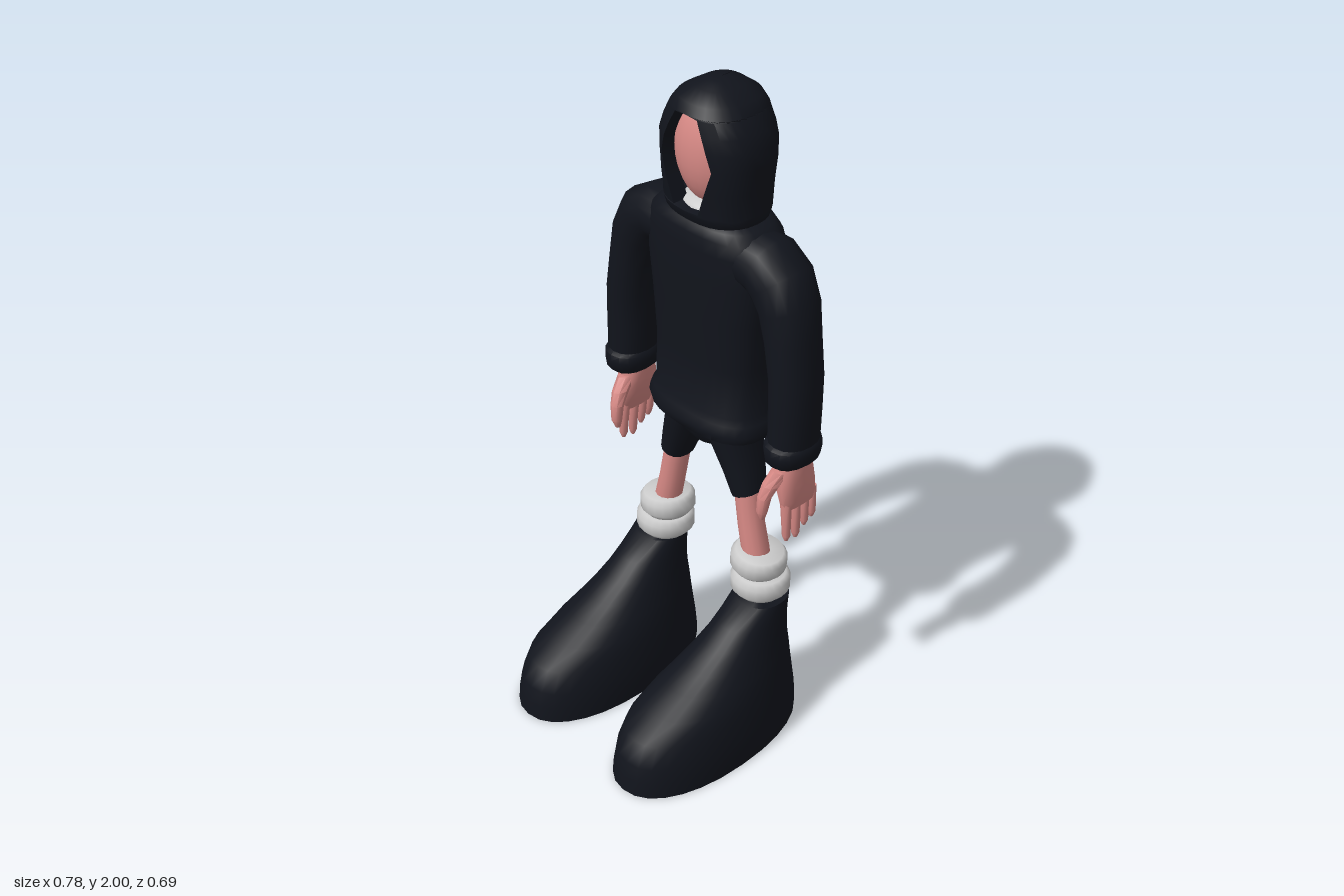
import * as THREE from 'three';
import { toCreasedNormals } from 'three/addons/utils/BufferGeometryUtils.js';

const mat = (color) => new THREE.MeshStandardMaterial({ color, side: THREE.DoubleSide });
const cloth = mat(0x11141c), skin = mat(0xd88a86), grey = mat(0xcccccc);

const spow = (v, e) => Math.sign(v) * Math.abs(v) ** e;

function toGeometry(pos, idx, crease) {
  const g = new THREE.BufferGeometry();
  g.setAttribute('position', new THREE.Float32BufferAttribute(pos, 3));
  g.setIndex(idx);
  return toCreasedNormals(g, crease);
}

// Capped skin over superellipse rings [x, y, z, rx, rzFront, rzBack = rzFront],
// each ring turned square to the path in the xy plane
function loft(rows, n = 16, p = 2, crease = 0.8) {
  const pos = [], idx = [], m = rows.length;
  rows.forEach(([x, y, z, rx, rf, rb = rf], i) => {
    const a = rows[Math.max(i - 1, 0)], b = rows[Math.min(i + 1, m - 1)];
    const t = new THREE.Vector2(b[0] - a[0], b[1] - a[1]).normalize();
    for (let j = 0; j < n; j++) {
      const th = (j / n) * Math.PI * 2;
      const u = rx * spow(Math.cos(th), 2 / p), s = spow(Math.sin(th), 2 / p);
      pos.push(x + t.y * u, y - t.x * u, z + s * (s > 0 ? rf : rb));
    }
  });
  const first = m * n, last = first + 1;
  pos.push(...rows[0].slice(0, 3), ...rows[m - 1].slice(0, 3));
  for (let j = 0; j < n; j++) {
    const k = (j + 1) % n;
    for (let i = 0; i < m - 1; i++) {
      const a = i * n + j, b = i * n + k;
      idx.push(a, a + n, b, b, a + n, b + n);
    }
    idx.push(first, j, k, last, (m - 1) * n + k, (m - 1) * n + j);
  }
  return toGeometry(pos, idx, crease);
}

// Hood shell from rows [y, halfWidth, zFront, zBack, faceGap], with a rim turned inward
function hoodGeometry(rows, n = 28, p = 2.4) {
  const pos = [], idx = [], w = n + 3;
  for (const [y, hw, zf, zb, gap] of rows) {
    const a0 = Math.asin((gap / hw) ** (p / 2)), zc = (zf + zb) / 2, rz = (zf - zb) / 2;
    for (let j = -1; j <= n + 1; j++) {
      const rim = j < 0 || j > n;
      const a = a0 + (THREE.MathUtils.clamp(j, 0, n) / n) * 2 * (Math.PI - a0);
      pos.push(hw * spow(Math.sin(a), 2 / p), y, zc + rz * spow(Math.cos(a), 2 / p) - (rim ? 0.05 : 0));
    }
  }
  for (let i = 0; i < rows.length - 1; i++)
    for (let j = 0; j < w - 1; j++) {
      const a = i * w + j, b = a + w;
      idx.push(a, a + 1, b, a + 1, b + 1, b);
    }
  return toGeometry(pos, idx, 0.8);
}

export function createModel() {
  const model = new THREE.Group();
  const add = (name, geo, material) => {
    const mesh = new THREE.Mesh(geo, material);
    mesh.name = name;
    model.add(mesh);
    return mesh;
  };
  const ellipsoid = (name, x, y, z, rx, ry, rz, material) => {
    const mesh = add(name, new THREE.SphereGeometry(1, 24, 16), material);
    mesh.position.set(x, y, z);
    mesh.scale.set(rx, ry, rz);
  };

  // Sweater body with a rolled hem
  add('sweater', loft([
    [0, 0.965, -0.21, 0.17, 0.11], [0, 0.975, -0.21, 0.2, 0.125], [0, 1.0, -0.212, 0.21, 0.132],
    [0, 1.03, -0.212, 0.2, 0.125], [0, 1.05, -0.21, 0.19, 0.112], [0, 1.2, -0.21, 0.185, 0.113],
    [0, 1.35, -0.208, 0.198, 0.117], [0, 1.47, -0.207, 0.214, 0.12], [0, 1.56, -0.206, 0.215, 0.12],
    [0, 1.6, -0.206, 0.2, 0.117], [0, 1.625, -0.206, 0.17, 0.108], [0, 1.64, -0.206, 0.13, 0.09],
  ], 28, 2.6), cloth);

  // Hood, open around the face
  add('hood', hoodGeometry([
    [1.61, 0.13, -0.11, -0.3, 0], [1.63, 0.148, -0.098, -0.315, 0], [1.65, 0.152, -0.09, -0.325, 0],
    [1.657, 0.152, -0.088, -0.328, 0], [1.66, 0.152, -0.088, -0.328, 0.045], [1.73, 0.152, -0.078, -0.335, 0.07],
    [1.8, 0.158, -0.074, -0.34, 0.092], [1.85, 0.158, -0.074, -0.34, 0.077], [1.89, 0.143, -0.078, -0.338, 0.06],
    [1.93, 0.122, -0.085, -0.33, 0.04], [1.934, 0.12, -0.086, -0.329, 0], [1.96, 0.1, -0.1, -0.315, 0],
    [1.985, 0.06, -0.14, -0.28, 0], [1.998, 0.025, -0.18, -0.235, 0], [2.0, 0.001, -0.207, -0.209, 0],
  ]), cloth);
  ellipsoid('face', 0, 1.81, -0.195, 0.118, 0.165, 0.095, skin);
  ellipsoid('collar', 0, 1.65, -0.185, 0.09, 0.035, 0.075, grey);

  // Hips joining both trouser legs
  add('hips', loft([
    [0, 0.9, -0.21, 0.07, 0.065], [0, 0.93, -0.21, 0.135, 0.085],
    [0, 0.97, -0.21, 0.17, 0.1], [0, 1.0, -0.21, 0.17, 0.1],
  ], 20, 2.3), cloth);

  for (const s of [1, -1]) {
    const side = s > 0 ? 'left' : 'right';
    const limb = (part, rows, material, n, p, crease) =>
      add(side + part, loft(rows.map(([x, ...r]) => [s * x, ...r]), n, p, crease), material);

    // Sleeve and cuff
    limb('Sleeve', [
      [0.13, 1.545, -0.2, 0.075, 0.09], [0.205, 1.54, -0.2, 0.082, 0.092], [0.25, 1.51, -0.198, 0.086, 0.09],
      [0.283, 1.45, -0.197, 0.077, 0.086], [0.303, 1.36, -0.195, 0.068, 0.082], [0.321, 1.25, -0.194, 0.065, 0.08],
      [0.323, 1.15, -0.194, 0.064, 0.078], [0.323, 1.03, -0.194, 0.062, 0.077],
    ], cloth, 16, 2.2);
    limb('Cuff', [
      [0.322, 1.055, -0.193, 0.06, 0.075], [0.322, 1.045, -0.193, 0.068, 0.086], [0.322, 1.025, -0.193, 0.069, 0.088],
      [0.322, 0.995, -0.193, 0.064, 0.084], [0.322, 0.982, -0.193, 0.05, 0.07],
    ], cloth, 16, 2.2);

    // Hand with four fingers and a thumb
    limb('Palm', [
      [0.315, 1.0, -0.203, 0.042, 0.052], [0.317, 0.95, -0.203, 0.042, 0.06], [0.324, 0.9, -0.207, 0.034, 0.066],
      [0.331, 0.85, -0.212, 0.024, 0.064], [0.334, 0.825, -0.215, 0.016, 0.058],
    ], skin, 14, 2.5);
    [[-0.166, 0.72], [-0.203, 0.714], [-0.236, 0.74], [-0.265, 0.755]].forEach(([z, tip], i) =>
      limb('Finger' + (i + 1), [
        [0.33, 0.86, z, 0.017, 0.016], [0.335, 0.79, z, 0.014, 0.0145],
        [0.338, tip + 0.015, z, 0.012, 0.012], [0.338, tip, z, 0.006, 0.006],
      ], skin, 8));
    limb('Thumb', [
      [0.315, 0.96, -0.165, 0.025, 0.035], [0.308, 0.92, -0.13, 0.024, 0.028], [0.302, 0.88, -0.11, 0.02, 0.02],
      [0.299, 0.83, -0.105, 0.016, 0.016], [0.298, 0.805, -0.108, 0.008, 0.008],
    ], skin, 8);

    // Trouser leg and shin
    limb('TrouserLeg', [
      [0.075, 0.98, -0.21, 0.075, 0.09], [0.096, 0.92, -0.21, 0.062, 0.08],
      [0.125, 0.84, -0.21, 0.051, 0.066], [0.147, 0.768, -0.21, 0.043, 0.055],
    ], cloth, 14, 2.2);
    limb('Shin', [
      [0.14, 0.8, -0.208, 0.038, 0.042], [0.152, 0.73, -0.207, 0.038, 0.041],
      [0.164, 0.66, -0.206, 0.039, 0.04], [0.182, 0.58, -0.207, 0.041, 0.041], [0.195, 0.5, -0.21, 0.041, 0.041],
    ], skin, 14);

    // Slouched sock: two soft rolls, the upper one tilted
    [[0.193, 0.546, 0.083, 0.1], [0.202, 0.474, 0.088, 0]].forEach(([x, y, r, tilt], i) => {
      const profile = [[0.03, -0.04], [0.8 * r, -0.038], [r, -0.018], [r, 0.016], [0.85 * r, 0.032], [0.03, 0.035]];
      const roll = add(side + 'SockRoll' + (i + 1),
        new THREE.LatheGeometry(profile.map(([a, b]) => new THREE.Vector2(a, b)), 20), grey);
      roll.position.set(s * x, y, -0.212);
      roll.rotation.z = -s * tilt;
    });

    // Big boot from [y, halfWidth, zFront, zBack, z of widest point]
    limb('Boot', [
      [0, 0.165, 0.345, -0.318, 0.02], [0.05, 0.164, 0.34, -0.317, 0.02], [0.1, 0.159, 0.33, -0.312, 0.02],
      [0.165, 0.146, 0.3, -0.304, 0.01], [0.21, 0.133, 0.22, -0.298, -0.02], [0.25, 0.118, 0.14, -0.293, -0.07],
      [0.29, 0.104, 0.07, -0.287, -0.11], [0.335, 0.092, 0.0, -0.283, -0.15], [0.38, 0.084, -0.055, -0.282, -0.18],
      [0.435, 0.078, -0.125, -0.285, -0.205],
    ].map(([y, hw, zf, zb, zc]) => [0.214, y, zc, hw, zf - zc, zc - zb]), cloth, 28, 2.2);
  }
  return model;
}
